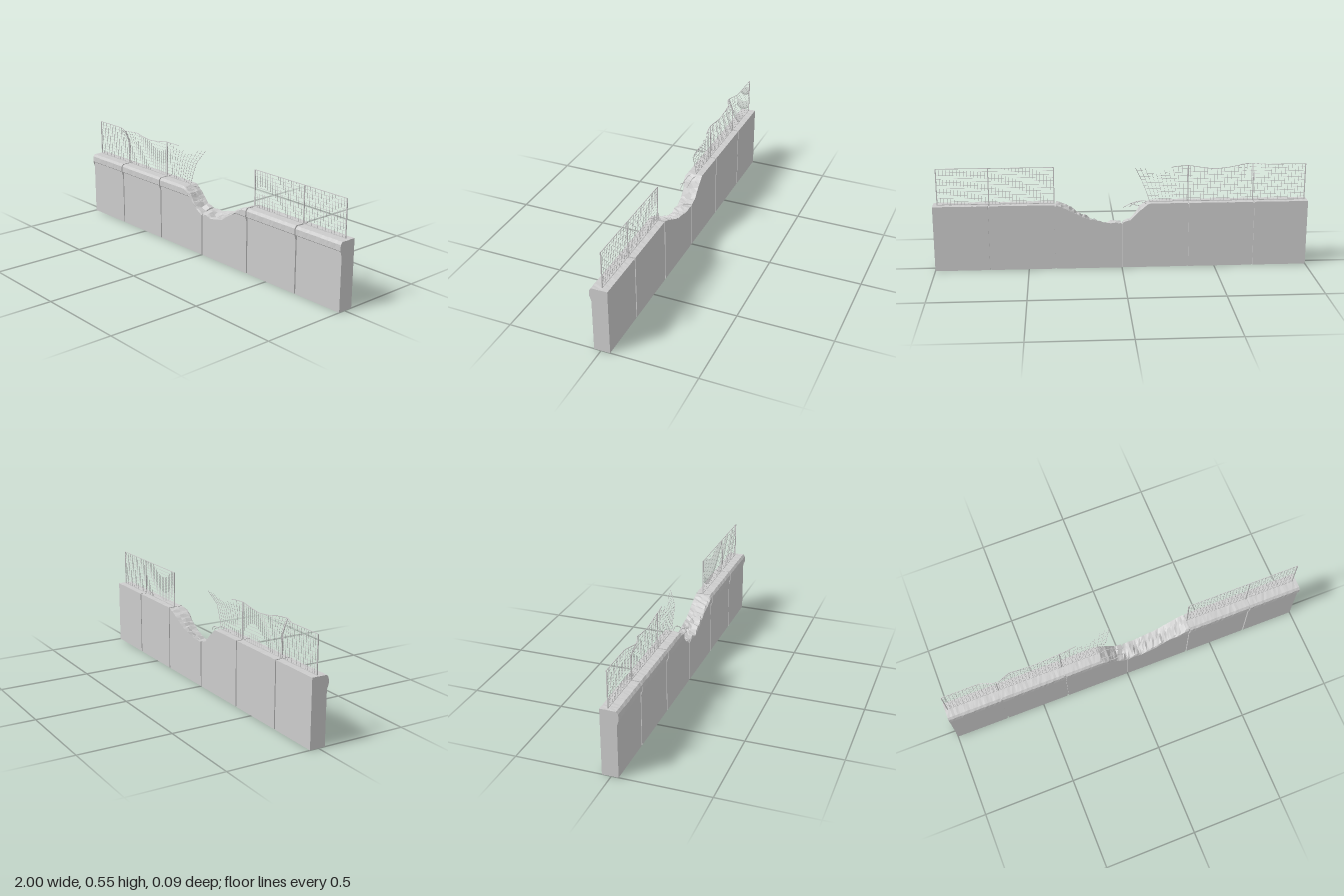
import * as THREE from 'three';
import { mergeGeometries } from 'three/addons/utils/BufferGeometryUtils.js';

const concrete = new THREE.MeshStandardMaterial({ color: 0xcccccc, flatShading: true, side: THREE.DoubleSide });
const metal = new THREE.MeshStandardMaterial({ color: 0xcccccc });

const clamp01 = (v) => Math.min(1, Math.max(0, v));
const noise = (a, b) => {
  const s = Math.sin(a * 127.1 + b * 311.7) * 43758.5453;
  return (s - Math.floor(s)) * 2 - 1;
};
// Piecewise linear curve through [x, y] points
const curve = (pts) => (x) => {
  if (x <= pts[0][0]) return pts[0][1];
  for (let i = 1; i < pts.length; i++) {
    const [x0, y0] = pts[i - 1], [x1, y1] = pts[i];
    if (x <= x1) return y0 + ((y1 - y0) * (x - x0)) / (x1 - x0);
  }
  return pts[pts.length - 1][1];
};

// Top edge of the wall along its front and back faces, with the breach in the middle
const frontTop = curve([[-0.15, 0.356], [-0.11, 0.33], [-0.08, 0.285], [-0.04, 0.25], [0, 0.228], [0.03, 0.24],
  [0.07, 0.228], [0.16, 0.245], [0.19, 0.268], [0.25, 0.305], [0.3, 0.338], [0.34, 0.356]]);
const backTop = curve([[-0.14, 0.356], [-0.1, 0.32], [-0.05, 0.268], [0, 0.25], [0.07, 0.252], [0.14, 0.265],
  [0.2, 0.283], [0.27, 0.32], [0.35, 0.356]]);

// Cross-section of the wall at x as [z, y] points, inset for the core behind the joints
function wallSection(x, inset) {
  const f = frontTop(x) - inset, b = backTop(x) - inset;
  const zf = 0.037 - inset, zb = -0.048 + inset;
  const broken = clamp01((0.356 - inset - Math.min(f, b)) / 0.03);
  const ledge = 0.01 * clamp01((f - 0.3) / 0.03);
  const pts = [[zb, 0], [zf, 0], [zf, Math.min(0.306, f - 0.008)],
    [zf + ledge, Math.min(0.313, f - 0.006)], [zf + ledge, Math.min(0.343, f - 0.004)]];
  [0.8, 0.55, 0.3, 0].forEach((t, k) => {
    const rough = noise(Math.round(x * 400), k) * (0.0015 + 0.008 * broken);
    const z = zb + (zf + ledge * 0.3 - zb) * (k === 0 ? 0.94 : t);
    pts.push([z, b + (f - b) * t + Math.min(rough, 0.001 + 0.008 * broken) * (k === 3 ? 0.4 : 1)]);
  });
  // chipped lip of the coping
  pts[4][0] -= Math.abs(noise(Math.round(x * 400), 9)) * 0.25 * ledge;
  return pts;
}

// Skin a row of cross-sections and close both ends
function loftWall(x0, x1, inset = 0) {
  const steps = Math.max(2, Math.round((x1 - x0) / 0.014));
  const pos = [], rows = [];
  for (let i = 0; i <= steps; i++) {
    const x = x0 + ((x1 - x0) * i) / steps;
    rows.push(wallSection(x, inset).map(([z, y]) => [x, y, z]));
  }
  const n = rows[0].length;
  const tri = (...p) => p.forEach((q) => pos.push(...q));
  for (let i = 0; i < steps; i++) {
    for (let j = 0; j < n; j++) {
      const k = (j + 1) % n;
      const a = rows[i][j], b = rows[i + 1][j], c = rows[i + 1][k], d = rows[i][k];
      tri(a, b, c);
      tri(a, c, d);
    }
  }
  const c0 = [x0, 0.15, -0.005], c1 = [x1, 0.15, -0.005];
  for (let j = 0; j < n; j++) {
    const k = (j + 1) % n;
    tri(c0, rows[0][j], rows[0][k]);
    tri(c1, rows[steps][k], rows[steps][j]);
  }
  const g = new THREE.BufferGeometry();
  g.setAttribute('position', new THREE.Float32BufferAttribute(pos, 3));
  g.computeVertexNormals();
  return g;
}

// Thin square bar between two points
const up = new THREE.Vector3(0, 1, 0);
function bar(a, b, w) {
  const d = b.clone().sub(a);
  const g = new THREE.BoxGeometry(w, d.length(), w);
  g.applyQuaternion(new THREE.Quaternion().setFromUnitVectors(up, d.normalize()));
  return g.translate((a.x + b.x) / 2, (a.y + b.y) / 2, (a.z + b.z) / 2);
}

const FENCE_BASE = 0.356, FENCE_TOP = 0.553, CELL = 0.018, WIRE = 0.0013;
// Upper edge of the damaged fence
const tornTop = curve([[-0.64, 0.553], [-0.58, 0.541], [-0.5, 0.532], [-0.43, 0.541], [-0.36, 0.553], [-0.29, 0.55],
  [-0.27, 0.525], [-0.23, 0.53], [-0.2, 0.51], [-0.16, 0.525], [-0.13, 0.55], [-0.06, 0.553]]);
// The damaged fence folds forward at one post and backward by the breach; its free end leans out
function bend(x, y) {
  const t = clamp01((y - 0.485) / 0.068);
  const forward = 0.03 * clamp01(1 - Math.abs(x + 0.7) / 0.075);
  const backward = 0.036 * clamp01((x + 0.34) / 0.16);
  const lean = clamp01((x + 0.35) / 0.2) * 0.08 * Math.pow((y - FENCE_BASE) / 0.197, 1.2);
  return new THREE.Vector3(x + lean, y, -0.011 + t * (forward - backward));
}
const flat = (x, y) => new THREE.Vector3(x, y, -0.011);

// Wire mesh from x0 to x1, cut off at the given upper edge
function meshWires(x0, x1, top, place) {
  const cols = Math.round((x1 - x0) / CELL), rowsN = 11, parts = [];
  const X = (i) => x0 + ((x1 - x0) * i) / cols;
  const Y = (j) => FENCE_BASE + ((FENCE_TOP - FENCE_BASE) * j) / rowsN;
  for (let i = 0; i <= cols; i++) {
    for (let j = 0; j < rowsN; j++) {
      const limit = top(place(X(i), Y(j)).x);
      if (Y(j) < limit) parts.push(bar(place(X(i), Y(j)), place(X(i), Math.min(Y(j + 1), limit)), WIRE));
    }
  }
  for (let j = 0; j <= rowsN; j++) {
    for (let i = 0; i < cols; i++) {
      const a = place(X(i), Y(j)), b = place(X(i + 1), Y(j));
      if (Y(j) <= Math.min(top(a.x), top(b.x)) + 0.001) parts.push(bar(a, b, WIRE));
    }
  }
  return mergeGeometries(parts);
}

export function createModel() {
  const model = new THREE.Group();
  const add = (name, geometry, material, parent = model) => {
    const m = new THREE.Mesh(geometry, material);
    m.name = name;
    parent.add(m);
  };

  // Wall panels with narrow joints, over a recessed core
  const wall = new THREE.Group();
  wall.name = 'brokenWall';
  model.add(wall);
  const joints = [-1, -0.707, -0.355, 0, 0.355, 0.705, 1];
  for (let i = 0; i < 6; i++) {
    const a = joints[i] + (i > 0 ? 0.004 : 0), b = joints[i + 1] - (i < 5 ? 0.004 : 0);
    add('wallPanel', loftWall(a, b), concrete, wall);
  }
  add('wallCore', loftWall(-0.98, 0.98, 0.008), concrete, wall);

  // Intact fence
  const intact = new THREE.Group();
  intact.name = 'intactFence';
  model.add(intact);
  add('wireMesh', meshWires(0.36, 0.977, () => FENCE_TOP, flat), metal, intact);
  const frame = [0.36, 0.705, 0.977].map((x) => bar(flat(x, 0.34), flat(x, FENCE_TOP), 0.005));
  [FENCE_BASE + 0.002, FENCE_TOP].forEach((y) => frame.push(bar(flat(0.36, y), flat(0.977, y), 0.003)));
  add('fenceFrame', mergeGeometries(frame), metal, intact);

  // Damaged fence with bent posts and a sagging top rail
  const damaged = new THREE.Group();
  damaged.name = 'damagedFence';
  model.add(damaged);
  add('wireMesh', meshWires(-0.985, -0.15, tornTop, bend), metal, damaged);
  const bent = [];
  for (const x of [-0.985, -0.705, -0.355, -0.15]) {
    const w = x === -0.15 ? 0.002 : 0.005;
    [0.345, 0.42, 0.485, FENCE_TOP].forEach((y, i, ys) => {
      if (i) bent.push(bar(bend(x, Math.max(ys[i - 1], FENCE_BASE)), bend(x, y), w));
    });
  }
  for (let x = -0.985; x < -0.31; x += 0.0225) {
    bent.push(bar(bend(x, tornTop(x)), bend(x + 0.0225, tornTop(x + 0.0225)), 0.003));
  }
  bent.push(bar(flat(-0.985, FENCE_BASE + 0.002), flat(-0.15, FENCE_BASE + 0.002), 0.003));
  add('fenceFrame', mergeGeometries(bent), metal, damaged);

  // Reinforcing rods hanging out of the break
  const rods = [
    [[-0.16, 0.345, 0.02], [-0.11, 0.352, 0.024], [-0.06, 0.34, 0.028], [-0.01, 0.315, 0.03]],
    [[-0.16, 0.335, -0.01], [-0.1, 0.357, -0.012], [-0.06, 0.345, -0.008], [-0.04, 0.325, 0]],
    [[-0.14, 0.325, 0.03], [-0.09, 0.322, 0.038], [-0.05, 0.335, 0.04]],
  ];
  for (const pts of rods) {
    const path = new THREE.CatmullRomCurve3(pts.map((p) => new THREE.Vector3(...p)));
    add('reinforcingRod', new THREE.TubeGeometry(path, 12, 0.002, 5), metal);
  }
  return model;
}
